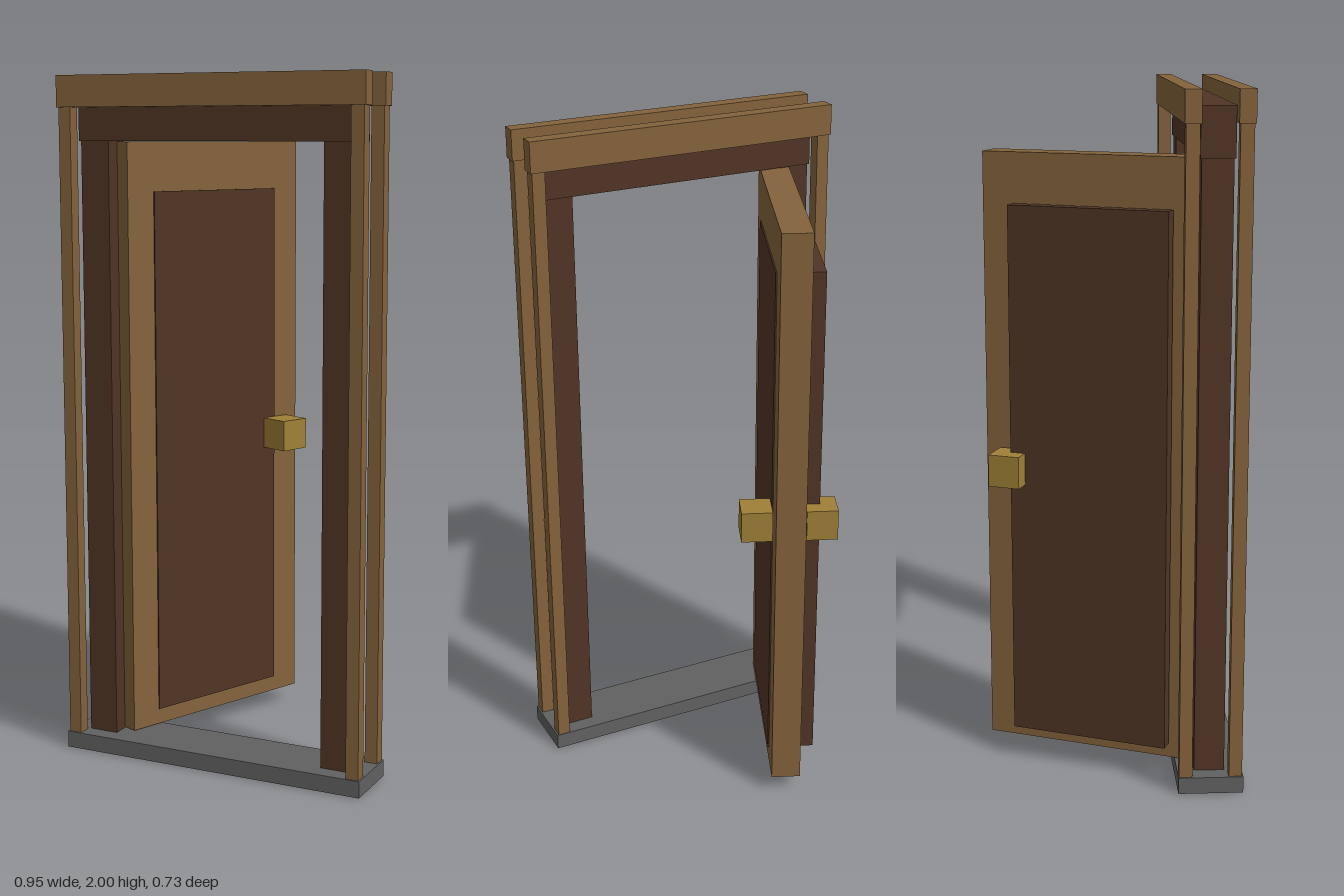
import * as THREE from 'three';

const material = (name, color) => {
  const m = new THREE.MeshStandardMaterial({ color });
  m.name = name;
  return m;
};

export function createModel() {
  const wood = material('lightWood', 0x84633c);
  const darkWood = material('darkWood', 0x503525);
  const brass = material('brass', 0x9f8036);
  const stone = material('greyStone', 0x616161);

  const model = new THREE.Group();
  model.name = 'doorway';

  // Box given by its extents on each axis
  const box = (parent, name, mat, [x0, x1], [y0, y1], [z0, z1]) => {
    const mesh = new THREE.Mesh(new THREE.BoxGeometry(x1 - x0, y1 - y0, z1 - z0), mat);
    mesh.position.set((x0 + x1) / 2, (y0 + y1) / 2, (z0 + z1) / 2);
    mesh.name = name;
    parent.add(mesh);
  };

  // Threshold and head of the frame
  const frame = new THREE.Group();
  frame.name = 'frame';
  model.add(frame);
  box(frame, 'threshold', stone, [-0.475, 0.475], [0.001, 0.05], [0.177, 0.365]);
  box(frame, 'headJamb', darkWood, [-0.43, 0.43], [1.815, 1.955], [0.222, 0.318]);

  // Side jambs
  for (const s of [-1, 1]) {
    const x = s < 0 ? [-0.425, -0.335] : [0.335, 0.425];
    box(frame, s < 0 ? 'rightJamb' : 'leftJamb', darkWood, x, [0, 1.9], [0.226, 0.314]);
  }

  // Casing on both faces: a head board over two thin uprights
  for (const [side, z0, z1] of [['front', 0.319, 0.365], ['back', 0.175, 0.221]]) {
    box(frame, side + 'HeadCasing', wood, [-0.475, 0.475], [1.91, 2], [z0, z1]);
    for (const x of [[-0.47, -0.432], [0.432, 0.47]]) {
      box(frame, side + 'SideCasing', wood, x, [0, 1.92], [z0 + 0.004, z1 - 0.004]);
    }
  }

  // Open door leaf: local x runs from hinge to handle
  const door = new THREE.Group();
  door.name = 'door';
  door.position.set(-0.205, 0, -0.04);
  door.rotation.y = THREE.MathUtils.degToRad(67.5);
  model.add(door);
  box(door, 'doorLeaf', wood, [-0.3315, 0.3315], [0.053, 1.813], [-0.044, 0.044]);

  // Panels: one stands off the outer face, one is set into the inner face
  for (const z of [[-0.094, -0.052], [0.005, 0.048]]) {
    box(door, 'doorPanel', darkWood, [-0.237, 0.237], [0.1, 1.67], z);
  }

  // Block handles
  for (const z of [-0.097, 0.095]) {
    box(door, 'handle', brass, [0.192, 0.286], [0.861, 0.955], [z - 0.046, z + 0.046]);
  }
  return model;
}
